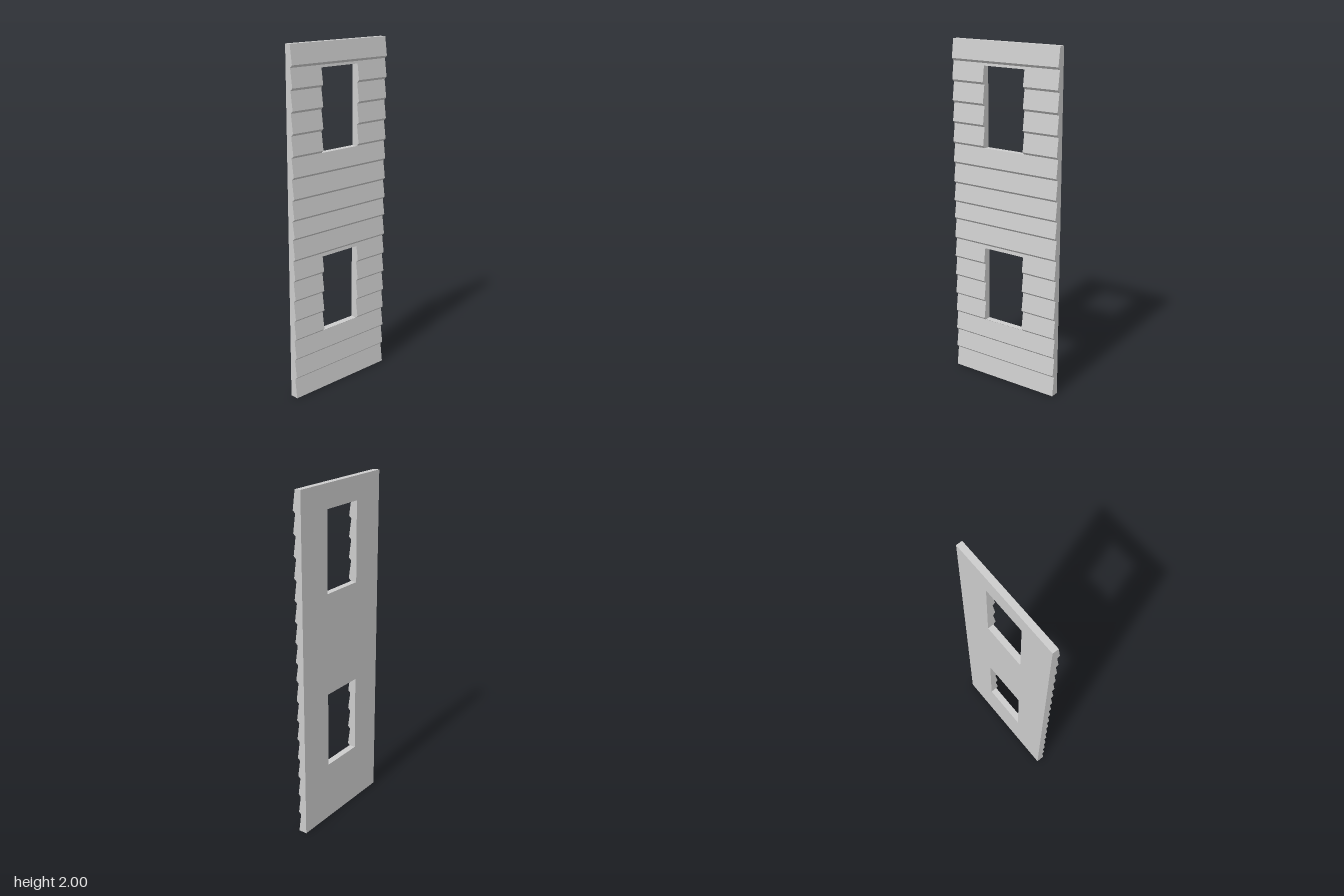
import * as THREE from 'three';

const HALF_W = 0.35, BACK = -0.026, THIN = 0.01, THICK = 0.025, LIP = 0.007;
// heights where one clapboard overlaps the next
const laps = [0.122, 0.241, 0.36, 0.477, 0.597, 0.715, 0.834, 0.956, 1.062,
  1.176, 1.295, 1.412, 1.531, 1.65, 1.768, 1.886];
const windows = [[0.355, 0.808], [1.404, 1.865]];
const WIN_L = -0.136, WIN_R = 0.131;

// sawtooth front profile as [y, z]: each board thins upward, then a sloped lip
const profile = [[0, THICK]];
for (const y of laps) profile.push([y - LIP, THIN], [y + LIP, THICK]);
profile.push([2, THIN]);

function frontZ(y) {
  for (let i = 1; i < profile.length; i++) {
    const [y0, z0] = profile[i - 1], [y1, z1] = profile[i];
    if (y <= y1) return z0 + (z1 - z0) * (y - y0) / (y1 - y0);
  }
  return THIN;
}

function wallGeometry() {
  const pos = [];
  // corners run counter-clockwise seen from outside
  const quad = (a, b, c, d) => pos.push(...a, ...b, ...c, ...a, ...c, ...d);
  // horizontal face across the wall thickness
  const cap = (xa, xb, y, up) => {
    const f = frontZ(y);
    const p = [[xa, y, f], [xb, y, f], [xb, y, BACK], [xa, y, BACK]];
    quad(...(up ? p : p.reverse()));
  };

  // horizontal strips, split in two beside the window openings
  const levels = [...profile.map(p => p[0]), ...windows.flat()].sort((a, b) => a - b);
  for (let i = 1; i < levels.length; i++) {
    const y0 = levels[i - 1], y1 = levels[i], mid = (y0 + y1) / 2;
    const z0 = frontZ(y0), z1 = frontZ(y1);
    const open = windows.some(([lo, hi]) => mid > lo && mid < hi);
    const spans = open ? [[-HALF_W, WIN_L], [WIN_R, HALF_W]] : [[-HALF_W, HALF_W]];
    for (const [xa, xb] of spans) {
      quad([xa, y0, z0], [xb, y0, z0], [xb, y1, z1], [xa, y1, z1]);
      quad([xb, y0, BACK], [xa, y0, BACK], [xa, y1, BACK], [xb, y1, BACK]);
      quad([xb, y0, z0], [xb, y0, BACK], [xb, y1, BACK], [xb, y1, z1]);
      quad([xa, y0, BACK], [xa, y0, z0], [xa, y1, z1], [xa, y1, BACK]);
    }
  }

  // wall top and bottom, window sills and heads
  cap(-HALF_W, HALF_W, 2, true);
  cap(-HALF_W, HALF_W, 0, false);
  for (const [lo, hi] of windows) {
    cap(WIN_L, WIN_R, lo, true);
    cap(WIN_L, WIN_R, hi, false);
  }

  const geo = new THREE.BufferGeometry();
  geo.setAttribute('position', new THREE.Float32BufferAttribute(pos, 3));
  geo.computeVertexNormals();
  return geo;
}

export function createModel() {
  const group = new THREE.Group();
  group.name = 'clapboardWall';
  const wall = new THREE.Mesh(wallGeometry(),
    new THREE.MeshStandardMaterial({ color: 0xcccccc, flatShading: true }));
  wall.name = 'sidingPanel';
  group.add(wall);
  return group;
}
